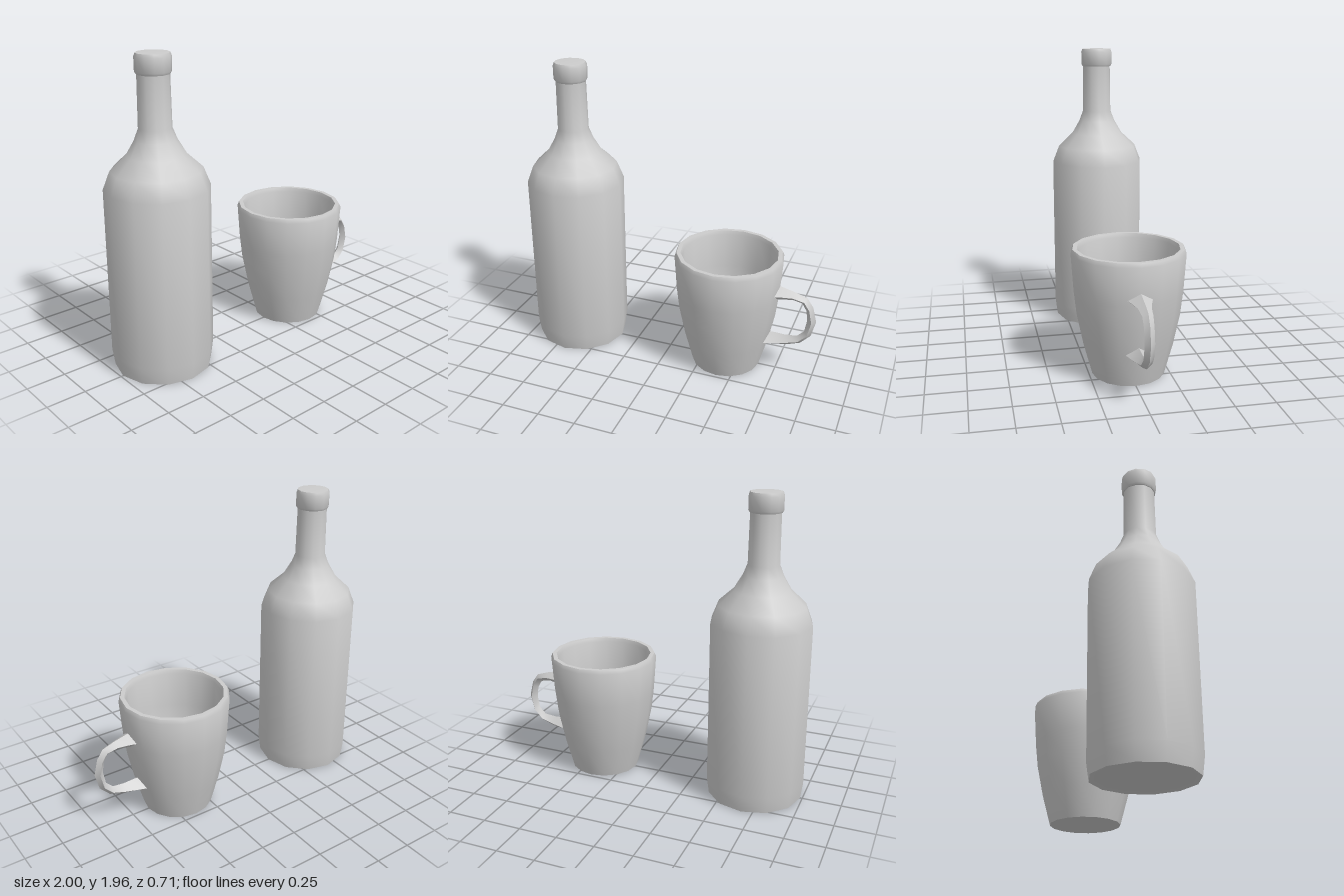
import * as THREE from 'three';
import { toCreasedNormals } from 'three/addons/utils/BufferGeometryUtils.js';

const material = new THREE.MeshStandardMaterial({ color: 0xcccccc });

function makeMesh(name, geometry, crease) {
  const mesh = new THREE.Mesh(toCreasedNormals(geometry, crease), material);
  mesh.name = name;
  return mesh;
}

// Revolves [radius, y] pairs, listed from the underside outwards and up
function turned(name, profile, sides, x) {
  const points = profile.map(([r, y]) => new THREE.Vector2(r, y));
  const mesh = makeMesh(name, new THREE.LatheGeometry(points, sides), 0.75);
  mesh.position.x = x;
  return mesh;
}

// Tapered handle: diamond sections [outer x, outer y, inner x, inner y, half width]
function handleGeometry(sections) {
  const rings = sections.map(([ox, oy, ix, iy, w]) => {
    const mx = ox * 0.55 + ix * 0.45;
    const my = oy * 0.55 + iy * 0.45;
    return [[ox, oy, 0], [mx, my, w], [ix, iy, 0], [mx, my, -w]];
  });
  const positions = rings.flat(2);
  const index = [];
  for (let i = 0; i < rings.length - 1; i++) {
    for (let j = 0; j < 4; j++) {
      const a = i * 4 + j;
      const b = i * 4 + (j + 1) % 4;
      index.push(a, b, b + 4, a, b + 4, a + 4);
    }
  }
  const geometry = new THREE.BufferGeometry();
  geometry.setAttribute('position', new THREE.Float32BufferAttribute(positions, 3));
  geometry.setIndex(index);
  return geometry;
}

export function createModel() {
  const model = new THREE.Group();
  model.name = 'bottleAndMug';

  // Bottle: twelve-sided body, sloping shoulder and neck
  const bottle = new THREE.Group();
  bottle.name = 'bottle';
  bottle.add(turned('bottleBody', [
    [0, 0.03], [0.24, 0.02], [0.305, 0], [0.32, 0.11], [0.32, 1.16], [0.277, 1.27],
    [0.18, 1.36], [0.127, 1.45], [0.1, 1.52], [0.096, 1.84],
  ], 12, -0.68));
  bottle.add(turned('bottleCap', [
    [0, 1.835], [0.1, 1.835], [0.108, 1.85], [0.108, 1.935], [0.1, 1.955], [0, 1.96],
  ], 12, -0.68));
  model.add(bottle);

  // Mug: sixteen-sided hollow cup with a rounded rim
  const mug = new THREE.Group();
  mug.name = 'mug';
  mug.add(turned('cup', [
    [0, 0], [0.228, 0], [0.282, 0.2], [0.323, 0.4], [0.34, 0.55], [0.356, 0.785],
    [0.345, 0.81], [0.318, 0.81], [0.308, 0.785], [0.297, 0.55], [0.28, 0.4],
    [0.24, 0.2], [0.195, 0.05], [0, 0.05],
  ], 16, 0.405));

  // Handle: flared where it joins the cup, slim along the grip
  mug.add(makeMesh('handle', handleGeometry([
    [0.725, 0.632, 0.725, 0.52, 0.078],
    [0.77, 0.622, 0.765, 0.53, 0.062],
    [0.85, 0.602, 0.835, 0.543, 0.04],
    [0.93, 0.575, 0.9, 0.53, 0.032],
    [0.972, 0.515, 0.93, 0.48, 0.03],
    [0.998, 0.41, 0.94, 0.41, 0.03],
    [0.97, 0.3, 0.925, 0.325, 0.03],
    [0.905, 0.232, 0.88, 0.28, 0.032],
    [0.82, 0.2, 0.8, 0.272, 0.04],
    [0.74, 0.186, 0.74, 0.275, 0.056],
    [0.665, 0.18, 0.68, 0.275, 0.075],
  ]), 0.8));
  model.add(mug);

  return model;
}
